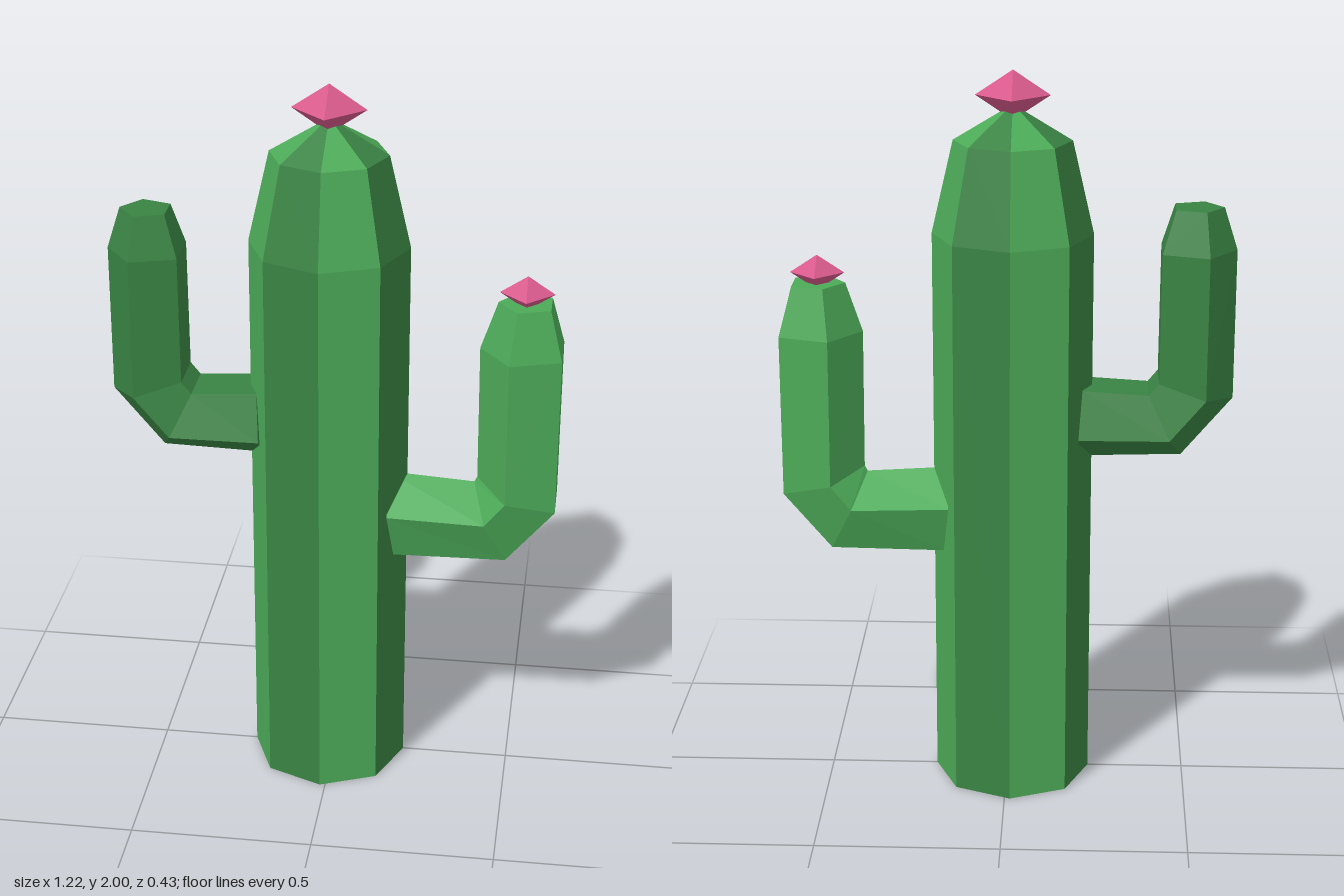
import * as THREE from 'three';
import { mergeGeometries } from 'three/addons/utils/BufferGeometryUtils.js';

const material = (name, color) => {
  const m = new THREE.MeshStandardMaterial({ color, flatShading: true, side: THREE.DoubleSide });
  m.name = name;
  return m;
};

// Five-sided tube through rings given as [outerX, outerY, innerX, innerY].
// apexInner puts the pentagon's ridge on the inner side of the bend.
function armGeometry(rings, side, apexInner) {
  const loops = rings.map(([ox, oy, ix, iy]) => {
    const outer = new THREE.Vector3(ox, oy, 0);
    const u = new THREE.Vector3(ix, iy, 0).sub(outer);
    const length = u.length();
    const r = length / 1.809;
    u.divideScalar(length);
    const center = outer.addScaledVector(u, apexInner ? r * 0.809 : r);
    return Array.from({ length: 5 }, (_, i) => {
      const a = (i * Math.PI * 2) / 5 + (apexInner ? 0 : Math.PI);
      const p = center.clone().addScaledVector(u, r * Math.cos(a));
      p.z = side * r * Math.sin(a);
      return p;
    });
  });
  const points = [];
  for (let j = 0; j < loops.length - 1; j++) {
    for (let i = 0; i < 5; i++) {
      const k = (i + 1) % 5;
      const [a, b, c, d] = [loops[j][i], loops[j][k], loops[j + 1][k], loops[j + 1][i]];
      points.push(a, b, c, a, c, d);
    }
  }
  // End caps
  const first = loops[0];
  const last = loops[loops.length - 1];
  for (let i = 1; i < 4; i++) {
    points.push(first[0], first[i + 1], first[i]);
    points.push(last[0], last[i], last[i + 1]);
  }
  const geometry = new THREE.BufferGeometry().setFromPoints(points);
  geometry.computeVertexNormals();
  return geometry;
}

export function createModel() {
  const lightGreen = material('light green', 0x4caa58);
  const darkGreen = material('dark green', 0x398343);
  const pink = material('pink', 0xd85a8c);
  const model = new THREE.Group();
  model.name = 'cactus';

  const add = (name, geometry, mat, parent = model) => {
    const mesh = new THREE.Mesh(geometry, mat);
    mesh.name = name;
    parent.add(mesh);
    return mesh;
  };

  // Eight-sided trunk, open below, with ribs of alternating green
  const trunk = new THREE.Group();
  trunk.name = 'trunk';
  trunk.position.x = -0.015;
  model.add(trunk);
  const profile = [[0.216, 0], [0.216, 1.565], [0.158, 1.815], [0, 1.91]]
    .map(([r, y]) => new THREE.Vector2(r, y));
  const ribs = (start) => mergeGeometries([0, 2, 4, 6].map((k) => {
    const g = new THREE.LatheGeometry(profile, 1, (k + start) * Math.PI / 4, Math.PI / 4).toNonIndexed();
    g.computeVertexNormals();
    return g;
  }));
  add('lightRibs', ribs(0), lightGreen, trunk);
  add('darkRibs', ribs(1), darkGreen, trunk);

  // Bent arms
  add('leftArm', armGeometry([
    [0.172, 0.685, 0.147, 0.905],
    [0.48, 0.69, 0.385, 0.89],
    [0.61, 0.845, 0.393, 0.905],
    [0.61, 1.29, 0.39, 1.29],
    [0.575, 1.425, 0.435, 1.425],
  ], 1, true), lightGreen);
  add('rightArm', armGeometry([
    [-0.19, 0.942, -0.205, 1.148],
    [-0.475, 0.95, -0.383, 1.137],
    [-0.612, 1.114, -0.41, 1.17],
    [-0.612, 1.525, -0.412, 1.525],
    [-0.575, 1.64, -0.446, 1.64],
  ], -1, false), darkGreen);

  // Flowers
  const flower = (name, x, y, radius, halfHeight) => {
    const mesh = add(name, new THREE.OctahedronGeometry(1), pink);
    mesh.scale.set(radius, halfHeight, radius);
    mesh.position.set(x, y, 0);
  };
  flower('topFlower', -0.015, 1.934, 0.099, 0.066);
  flower('armFlower', 0.51, 1.453, 0.073, 0.048);

  return model;
}
